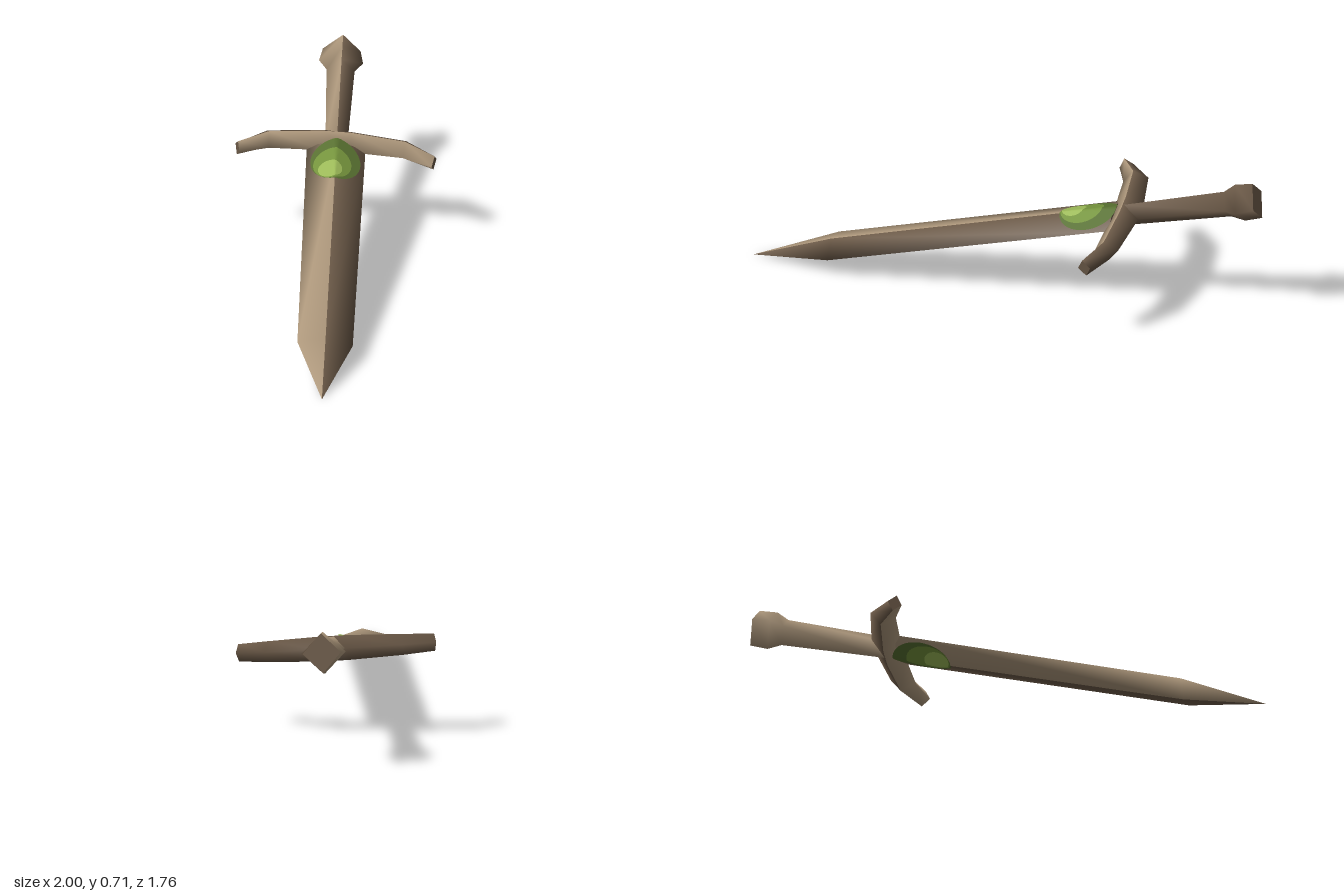
import * as THREE from 'three';

const mat = (name, color) => {
  const m = new THREE.MeshStandardMaterial({ color });
  m.name = name;
  return m;
};

// Skin through four-cornered rings; sideMats gives the material slot of each side.
function loft(name, rings, sideMats, materials, capMat) {
  const pos = rings.flat(2), index = [], geo = new THREE.BufferGeometry();
  const last = rings.length - 1;
  for (let k = 0; k < 4; k++) {
    const start = index.length, n = (k + 1) % 4;
    for (let i = 0; i < last; i++) {
      const a = i * 4 + k, b = i * 4 + n, c = b + 4, d = a + 4;
      index.push(a, b, c, a, c, d);
    }
    geo.addGroup(start, index.length - start, sideMats[k]);
  }
  // end caps with their own corners, so their edges stay sharp
  const base = pos.length / 3, start = index.length;
  pos.push(...rings[0].flat(), ...rings[last].flat());
  index.push(base, base + 2, base + 1, base, base + 3, base + 2);
  index.push(base + 4, base + 5, base + 6, base + 4, base + 6, base + 7);
  geo.addGroup(start, 12, capMat);
  geo.setAttribute('position', new THREE.Float32BufferAttribute(pos, 3));
  geo.setIndex(index);
  geo.computeVertexNormals();
  const mesh = new THREE.Mesh(geo, materials);
  mesh.name = name;
  return mesh;
}

// Diamond section across the sword's length: right, top, left, bottom
const across = ([z, w, h]) => [[w, 0, z], [0, h, z], [-w, 0, z], [0, -h, z]];
// Diamond section across the guard: top, blade side, bottom, grip side
const along = ([x, z, hz, hy, skew]) =>
  [[x, hy, z], [x - skew, 0, z + hz], [x, -hy, z], [x + skew, 0, z - hz]];

// Thin oval that follows the blade's faces
function inlay(name, material, x0, z0, rx, rz, lift, side) {
  const geo = new THREE.RingGeometry(0.001, 1, 40, 10);
  const p = geo.attributes.position;
  for (let i = 0; i < p.count; i++) {
    const x = x0 + p.getX(i) * rx, z = z0 - side * p.getY(i) * rz;
    p.setXYZ(i, x, side * (0.05 * (1 - Math.abs(x) / 0.145) + lift), z);
  }
  geo.computeVertexNormals();
  const mesh = new THREE.Mesh(geo, material);
  mesh.name = name;
  return mesh;
}

export function createModel() {
  const tan = mat('light wood', 0xae987c);
  const brown = mat('dark wood', 0x6c5a48);
  const greens = [
    mat('dark green', 0x587030), mat('mid green', 0x75943c), mat('light green', 0x9cba58),
  ];
  const wood = [tan, brown];
  const sword = new THREE.Group();
  sword.name = 'sword';

  // blade, from guard to tip at the origin
  sword.add(loft('blade', [
    [-1.9, 0.146, 0.05], [-1.853, 0.146, 0.05], [-0.418, 0.138, 0.043], [0, 0.0005, 0.0005],
  ].map(across), [1, 0, 0, 1], wood, 1));

  // grip and pommel
  sword.add(loft('gripAndPommel', [
    [-2.646, 0.094, 0.1], [-2.555, 0.11, 0.105], [-2.49, 0.07, 0.072], [-1.95, 0.055, 0.058],
  ].map(across), [1, 0, 0, 1], wood, 1));

  // crossguard with arms bent towards the blade
  const arm = [[0.49, -1.847, 0.034, 0.043, 0.011], [0.34, -1.93, 0.065, 0.052, 0.006]];
  const mirrored = arm.map(([x, z, hz, hy, s]) => [-x, z, hz, hy, -s]);
  sword.add(loft('crossguard', [
    ...mirrored, [-0.07, -1.955, 0.077, 0.062, 0], [0.07, -1.955, 0.077, 0.062, 0],
    ...arm.reverse(),
  ].map(along), [0, 0, 1, 1], wood, 1));

  // green inlay at the root of the blade, on both faces
  for (const side of [1, -1]) {
    const inlays = new THREE.Group();
    inlays.name = side > 0 ? 'upperInlay' : 'lowerInlay';
    inlays.add(
      inlay('inlayRim', greens[0], 0, -1.77, 0.125, 0.15, 0.003, side),
      inlay('inlayBody', greens[1], -0.015, -1.735, 0.095, 0.112, 0.006, side),
      inlay('inlayCentre', greens[2], -0.025, -1.69, 0.06, 0.062, 0.009, side),
    );
    sword.add(inlays);
  }

  // lean the sword down to its tip
  const d = new THREE.Vector3(1.942, -0.615, 1.69).normalize();
  const n = new THREE.Vector3().crossVectors(d, new THREE.Vector3(0.657, -0.082, -0.754)).normalize();
  const r = new THREE.Vector3().crossVectors(n, d);
  sword.quaternion.setFromRotationMatrix(new THREE.Matrix4().makeBasis(r, n, d));
  sword.position.set(1, 0, 0.88);

  const model = new THREE.Group();
  model.name = 'leaningSword';
  model.add(sword);
  return model;
}
